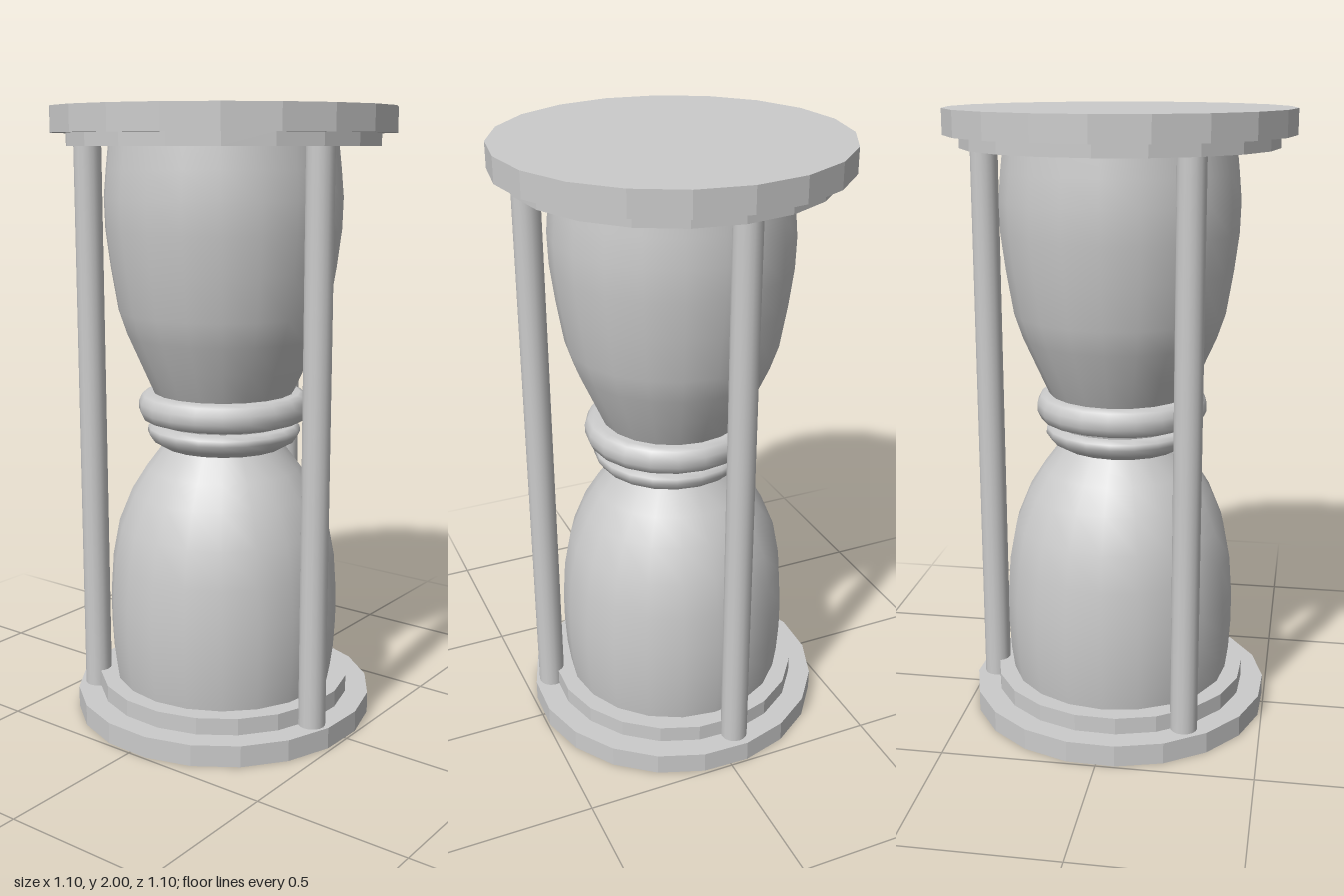
import * as THREE from 'three';

const SIDES = 20;
const material = new THREE.MeshStandardMaterial({ color: 0xcccccc });
const flatMaterial = new THREE.MeshStandardMaterial({ color: 0xcccccc, flatShading: true });
const glassMaterial = new THREE.MeshStandardMaterial({ color: 0xcccccc, side: THREE.DoubleSide });

export function createModel() {
  const group = new THREE.Group();

  const add = (name, geometry, mat, x = 0, y = 0, z = 0) => {
    const mesh = new THREE.Mesh(geometry, mat);
    mesh.name = name;
    mesh.position.set(x, y, z);
    group.add(mesh);
    return mesh;
  };

  // Faceted disc between two heights, turned by an angle in degrees
  const disc = (name, radius, y0, y1, turn = 0) => {
    const mesh = add(name, new THREE.CylinderGeometry(radius, radius, y1 - y0, SIDES),
      flatMaterial, 0, (y0 + y1) / 2, 0);
    mesh.rotation.y = THREE.MathUtils.degToRad(turn);
  };

  // Turned part from [radius, height] pairs, listed bottom to top
  const turned = (name, profile, mat, x = 0, z = 0) => {
    const points = profile.map(([r, y]) => new THREE.Vector2(r, y));
    add(name, new THREE.LatheGeometry(points, SIDES), mat, x, 0, z);
  };

  // Stepped end plates
  disc('basePlate', 0.497, 0, 0.07, 7);
  disc('baseStep', 0.422, 0.07, 0.125, 7);
  disc('topStep', 0.5, 1.88, 1.92);
  disc('topPlate', 0.55, 1.92, 2);

  // Two glass bulbs
  turned('lowerBulb', [
    [0.365, 0.12], [0.376, 0.2], [0.382, 0.3], [0.382, 0.4], [0.373, 0.53],
    [0.35, 0.65], [0.305, 0.76], [0.255, 0.84], [0.195, 0.92], [0.18, 0.96],
  ], glassMaterial);
  turned('upperBulb', [
    [0.2, 1.04], [0.235, 1.1], [0.275, 1.19], [0.315, 1.28], [0.342, 1.36],
    [0.365, 1.5], [0.38, 1.62], [0.383, 1.72], [0.375, 1.81], [0.366, 1.89],
  ], glassMaterial);

  // Collar rings around the waist
  turned('lowerRing', [
    [0.17, 0.915], [0.2, 0.915], [0.235, 0.935], [0.252, 0.96],
    [0.25, 0.978], [0.236, 0.99], [0.17, 0.99],
  ], material, 0.006, 0.006);
  turned('waist', [[0.18, 0.94], [0.215, 0.985], [0.215, 1.01], [0.18, 1.06]], glassMaterial);
  turned('upperRing', [
    [0.17, 1.002], [0.245, 1.002], [0.268, 1.01], [0.28, 1.035],
    [0.28, 1.062], [0.268, 1.086], [0.25, 1.094], [0.2, 1.094],
  ], material, 0.006, 0.006);

  // Three posts joining the plates
  const postGeometry = new THREE.CylinderGeometry(0.044, 0.044, 1.83, 16);
  for (const [x, z] of [[0.428, 0.1], [-0.342, 0.262], [-0.04, -0.428]]) {
    add('post', postGeometry, material, x, 0.975, z);
  }

  return group;
}
